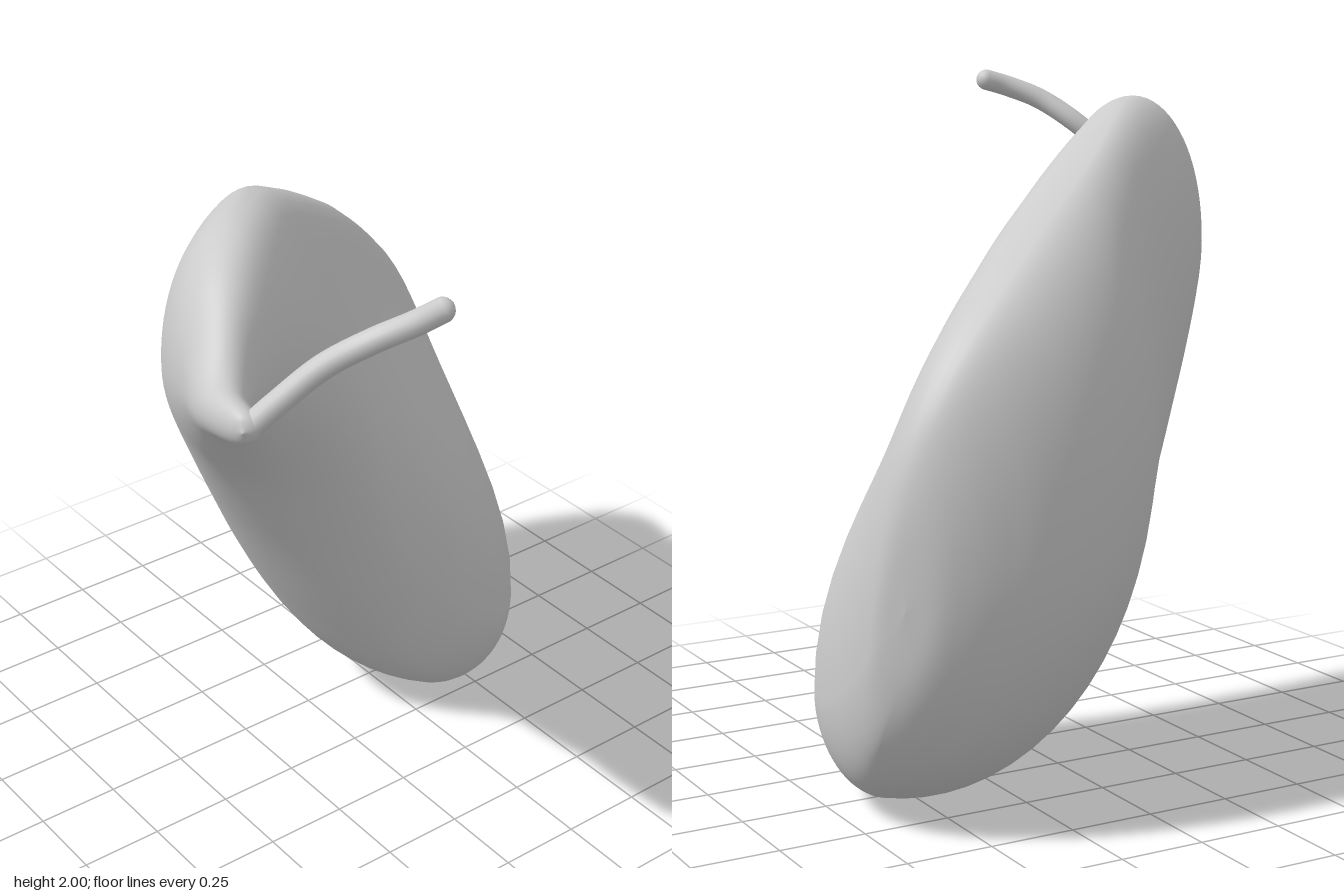
import * as THREE from 'three';

const material = new THREE.MeshStandardMaterial({ color: 0xcccccc });

// Cross-sections along the body's diagonal axis p (towards +x +z), q runs across it.
// p, then q and y of the outermost point on each side: -q side, +q side, bottom, top
const SECTIONS = [
  [-1.025, -0.08, 0.7, 0.09, 0.57, 0.03, 0.46, 0.0, 0.9],
  [-0.995, -0.15, 0.72, 0.14, 0.49, 0.08, 0.33, -0.02, 1.06],
  [-0.945, -0.23, 0.74, 0.2, 0.42, 0.12, 0.23, -0.06, 1.2],
  [-0.86, -0.335, 0.76, 0.275, 0.36, 0.15, 0.13, -0.11, 1.335],
  [-0.72, -0.44, 0.82, 0.37, 0.31, 0.18, 0.045, -0.17, 1.47],
  [-0.5, -0.51, 0.95, 0.45, 0.29, 0.2, 0.0, -0.24, 1.64],
  [-0.3, -0.5, 1.08, 0.44, 0.31, 0.21, 0.03, -0.28, 1.755],
  [-0.15, -0.49, 1.2, 0.35, 0.41, 0.18, 0.15, -0.295, 1.83],
  [0.0, -0.495, 1.32, 0.165, 0.72, 0.02, 0.43, -0.295, 1.89],
  [0.2, -0.5, 1.43, 0.035, 1.2, -0.15, 0.87, -0.285, 1.93],
  [0.35, -0.487, 1.5, -0.035, 1.42, -0.22, 1.14, -0.28, 1.93],
  [0.5, -0.44, 1.56, -0.1, 1.56, -0.26, 1.31, -0.27, 1.885],
  [0.65, -0.368, 1.6, -0.145, 1.6, -0.25, 1.45, -0.25, 1.8],
  [0.8, -0.3, 1.63, -0.155, 1.64, -0.23, 1.555, -0.225, 1.72],
  [0.95, -0.185, 1.67, -0.105, 1.675, -0.15, 1.63, -0.15, 1.715],
];

const toWorld = (p, q, y) => new THREE.Vector3((p + q) * Math.SQRT1_2, y, (p - q) * Math.SQRT1_2);
const TAIL = toWorld(-1.035, 0.01, 0.66);
const TIP = toWorld(0.975, -0.145, 1.675);

// Point on a section made of four quarter ellipses, hollowed on the upper +q quarter
function sectionPoint([p, leftQ, leftY, rightQ, rightY, bottomQ, bottomY, topQ, topY], angle) {
  const c = Math.cos(angle), s = Math.sin(angle);
  const [sideQ, sideY] = c >= 0 ? [rightQ, rightY] : [leftQ, leftY];
  const [endQ, endY] = s >= 0 ? [topQ, topY] : [bottomQ, bottomY];
  const hollow = c > 0 && s > 0 ? 0.35 * (rightQ - topQ) ** 2 * Math.sin(2 * angle) ** 2 : 0;
  const q = endQ + (sideQ - endQ) * Math.abs(c) - hollow;
  const y = sideY + (endY - sideY) * Math.abs(s);
  return toWorld(p, q, y);
}

// Smooth skin: one spline along the body for each angle
function bodyGeometry(around = 72, along = 112) {
  const positions = [];
  const index = [];
  for (let j = 0; j < around; j++) {
    const angle = (j / around) * Math.PI * 2;
    const ribs = SECTIONS.map((section) => sectionPoint(section, angle));
    const curve = new THREE.CatmullRomCurve3([TAIL, ...ribs, TIP]);
    for (let i = 0; i <= along; i++) positions.push(...curve.getPoint(i / along).toArray());
  }
  const id = (i, j) => (j % around) * (along + 1) + i;
  for (let j = 0; j < around; j++) {
    for (let i = 0; i < along; i++) {
      const a = id(i, j), b = id(i, j + 1), c = id(i + 1, j), d = id(i + 1, j + 1);
      if (i > 0) index.push(a, b, c);
      if (i < along - 1) index.push(b, d, c);
    }
  }
  const geometry = new THREE.BufferGeometry();
  geometry.setAttribute('position', new THREE.Float32BufferAttribute(positions, 3));
  geometry.setIndex(index);
  geometry.computeVertexNormals();
  return geometry;
}

export function createModel() {
  const model = new THREE.Group();
  const add = (name, geometry, parent = model) => {
    const mesh = new THREE.Mesh(geometry, material);
    mesh.name = name;
    parent.add(mesh);
    return mesh;
  };

  // Swollen body narrowing into the neck
  add('body', bodyGeometry());

  // Thin bent stalk with rounded ends
  const stalk = new THREE.Group();
  stalk.name = 'stalk';
  model.add(stalk);
  const path = new THREE.CatmullRomCurve3([
    new THREE.Vector3(0.56, 1.665, 0.76),
    new THREE.Vector3(0.6, 1.735, 0.695),
    new THREE.Vector3(0.66, 1.83, 0.6),
    new THREE.Vector3(0.74, 1.905, 0.51),
    new THREE.Vector3(0.79, 1.945, 0.42),
    new THREE.Vector3(0.807, 1.966, 0.35),
  ]);
  const radius = 0.033;
  add('stalkTube', new THREE.TubeGeometry(path, 40, radius, 16), stalk);
  for (const t of [0, 1]) {
    add('stalkEnd', new THREE.SphereGeometry(radius, 16, 12), stalk).position.copy(path.getPoint(t));
  }

  return model;
}
